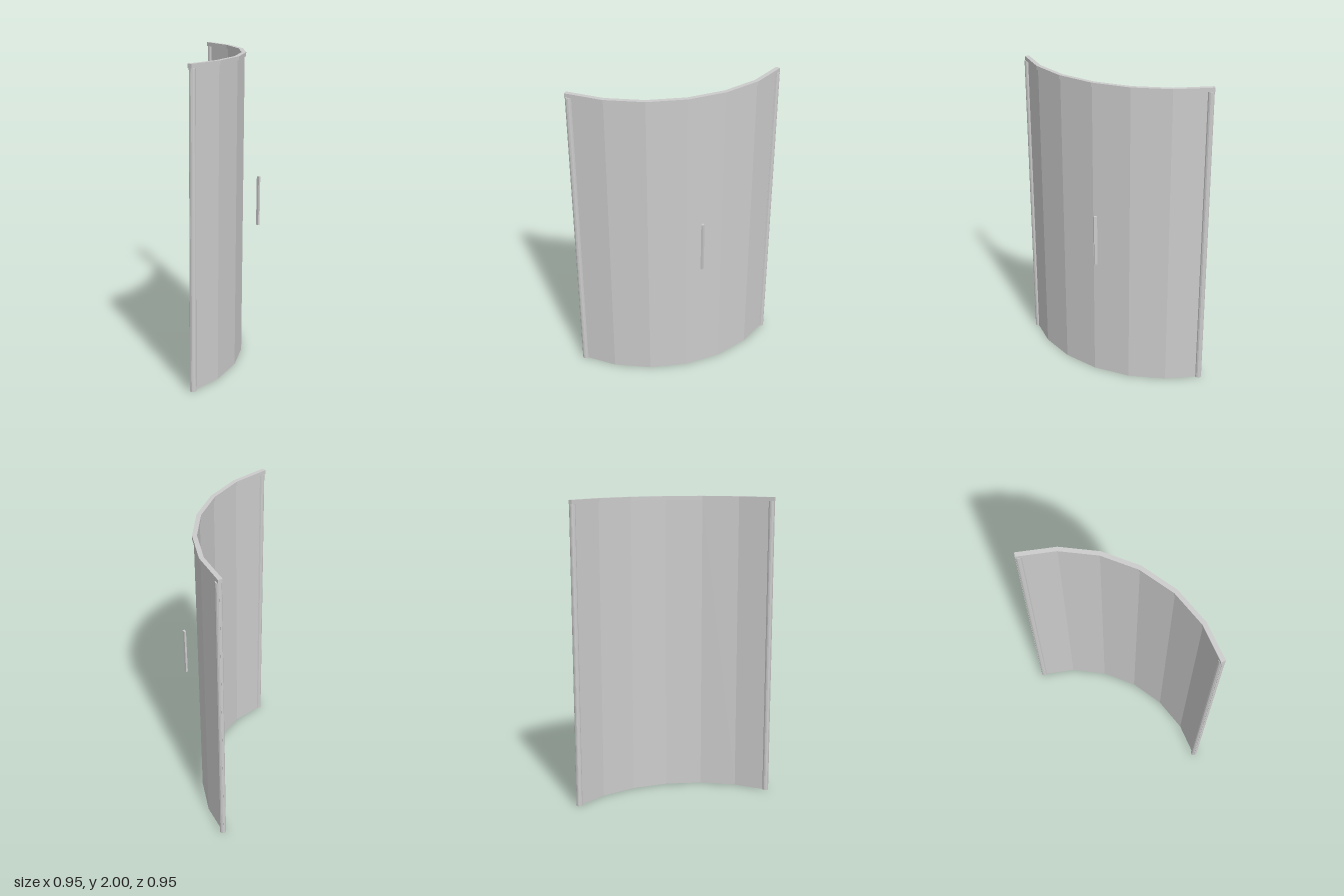
import * as THREE from 'three';

const CENTER = -0.475, RADIUS = 0.933, STEPS = 6;
const STEP = Math.PI / 2 / STEPS;

// One side of the faceted quarter arc, offset sideways, with square-cut ends
function arcSide(offset) {
  const points = [];
  for (let i = 0; i <= STEPS; i++) {
    const a = i * STEP;
    const end = i === 0 ? 1 : i === STEPS ? -1 : 0;
    const n = a + end * STEP / 2; // normal of the end segment, or the mitre
    const d = end ? offset : offset / Math.cos(STEP / 2);
    points.push(new THREE.Vector2(
      CENTER + RADIUS * Math.cos(a) + d * Math.cos(n),
      -CENTER - RADIUS * Math.sin(a) - d * Math.sin(n)));
  }
  return points;
}

// Curved wall of a given thickness between two heights
function curvedWall(name, thickness, bottom, top, material) {
  const outline = [...arcSide(thickness / 2), ...arcSide(-thickness / 2).reverse()];
  const geometry = new THREE.ExtrudeGeometry(new THREE.Shape(outline),
    { depth: top - bottom, bevelEnabled: false });
  geometry.rotateX(-Math.PI / 2).translate(0, bottom, 0);
  const mesh = new THREE.Mesh(geometry, material);
  mesh.name = name;
  return mesh;
}

export function createModel() {
  const group = new THREE.Group();
  group.name = 'curvedShowerScreen';
  const material = new THREE.MeshStandardMaterial({ color: 0xcccccc, flatShading: true });

  // Glass panel and the rail along its top
  group.add(curvedWall('glassPanel', 0.01, 0, 1.975, material));
  group.add(curvedWall('topRail', 0.028, 1.975, 2, material));

  // Round posts at both ends
  const postGeometry = new THREE.CylinderGeometry(0.02, 0.02, 1.975, 12);
  for (const [name, x, z] of [['rightPost', -0.455, 0.458], ['leftPost', 0.458, -0.455]]) {
    const post = new THREE.Mesh(postGeometry, material);
    post.name = name;
    post.position.set(x, 1.975 / 2, z);
    group.add(post);
  }

  // Upright door handle, standing clear of the glass
  const handle = new THREE.Mesh(new THREE.BoxGeometry(0.013, 0.33, 0.02), material);
  handle.name = 'handle';
  handle.position.set(0.309, 1.025, 0.204);
  group.add(handle);

  return group;
}
